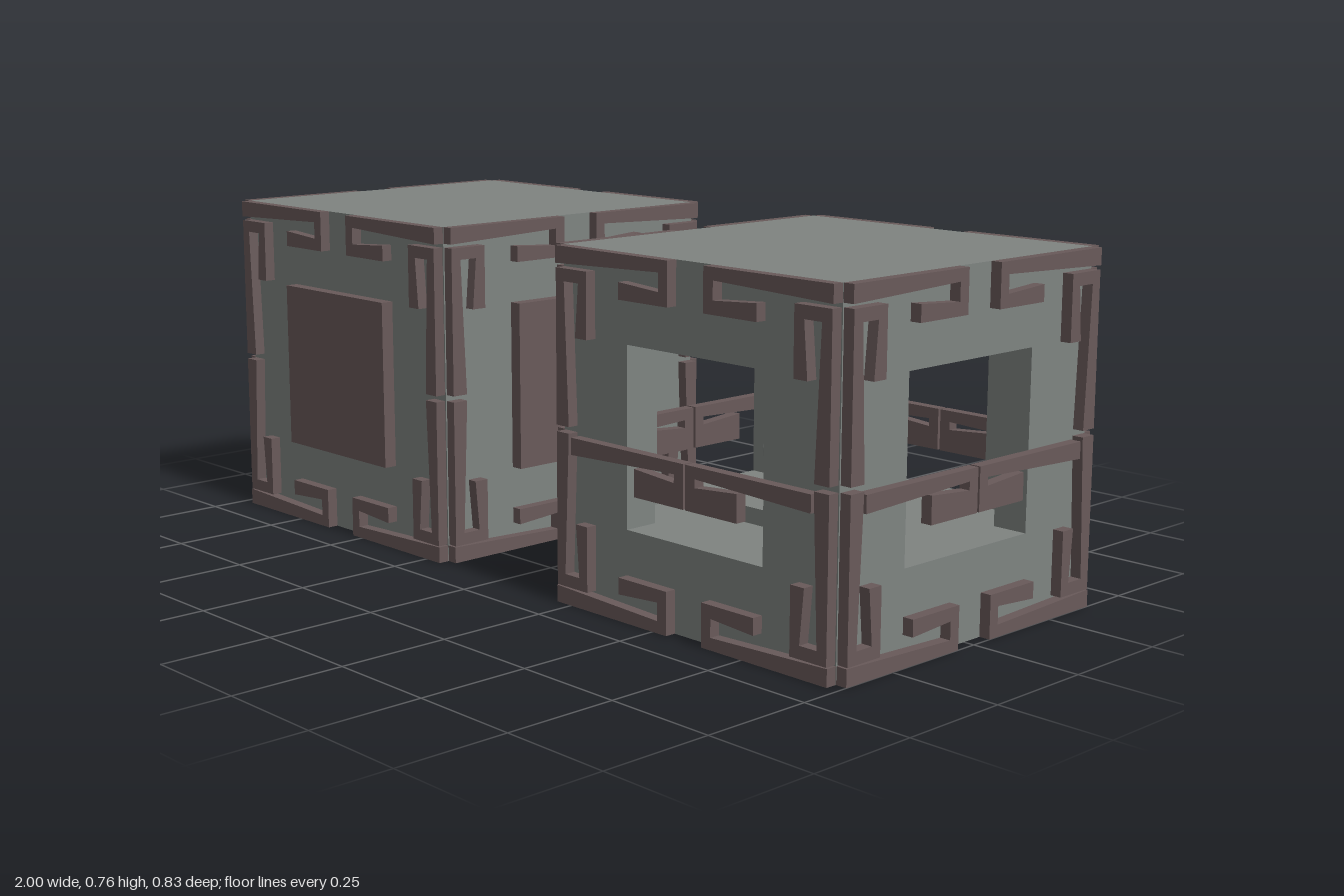
import * as THREE from 'three';

const grey = new THREE.MeshStandardMaterial({ color: 0x7f8481 });
const brown = new THREE.MeshStandardMaterial({ color: 0x695a5a });
const bowlMat = new THREE.MeshStandardMaterial({ color: 0x7f8481, side: THREE.DoubleSide });

const H = 0.765;      // cube height
const R = 0.385;      // half width of the body
const W = 0.192;      // half width of window and panel
const Y0 = 0.19, Y1 = 0.577; // window bottom and top
const T = 0.025;      // trim thickness

// Hooked trim outlines, for the +u half of a face
const rail = [[0.384, H], [0.384, 0.728], [0.076, 0.739], [0.076, 0.7], [0.192, 0.708], [0.192, 0.672], [0.05, 0.672], [0.05, H]];
const post = [[0.382, 0.719], [0.288, 0.719], [0.288, 0.577], [0.323, 0.577], [0.313, 0.692], [0.357, 0.692], [0.344, 0.386], [0.382, 0.386]];
const belt = [[0.337, 0.365], [0.337, 0.328], [0.029, 0.34], [0.029, 0.322], [0.145, 0.331], [0.145, 0.272], [0.003, 0.272], [0.003, 0.365]];

function add(parent, name, geometry, material, x = 0, y = 0, z = 0) {
  const mesh = new THREE.Mesh(geometry, material);
  mesh.name = name;
  mesh.position.set(x, y, z);
  parent.add(mesh);
  return mesh;
}

function extrude(points, depth) {
  const shape = new THREE.Shape(points.map(([x, y]) => new THREE.Vector2(x, y)));
  return new THREE.ExtrudeGeometry(shape, { depth, bevelEnabled: false });
}

// All trim of one face, facing +z
function faceTrim(withBelt) {
  const face = new THREE.Group();
  face.name = 'faceTrim';
  for (const s of [1, -1]) {
    const flip = (points, mirrorY) => points.map(([u, y]) => [s * u, mirrorY ? mirrorY - y : y]);
    for (const top of [true, false]) {
      add(face, 'hookedRail', extrude(flip(rail, top ? 0 : H), T), brown, 0, 0, R);
      add(face, 'hookedPost', extrude(flip(post, top ? 0 : 0.758), T), brown, 0, 0, R);
    }
    if (withBelt) add(face, 'hookedBelt', extrude(flip(belt, 0), T), brown, 0, 0, R);
  }
  return face;
}

// Closed cube with a raised square panel on each side
function closedCube() {
  const cube = new THREE.Group();
  cube.name = 'closedCube';
  add(cube, 'body', new THREE.BoxGeometry(2 * R, H, 2 * R), grey, 0, H / 2, 0);
  for (let i = 0; i < 4; i++) {
    const face = faceTrim(false);
    add(face, 'raisedPanel', new THREE.BoxGeometry(2 * W, Y1 - Y0, 0.03), brown, 0, (Y0 + Y1) / 2, R + 0.015);
    face.rotation.y = i * Math.PI / 2;
    cube.add(face);
  }
  return cube;
}

// Bowl on a chamfered square base
function pedestalBowl() {
  const bowl = new THREE.Group();
  bowl.name = 'pedestalBowl';
  const a = 0.162, b = 0.08;
  const outline = [[a, -b], [a, b], [b, a], [-b, a], [-a, b], [-a, -b], [-b, -a], [b, -a]];
  const base = extrude(outline, 0.035);
  base.rotateX(-Math.PI / 2);
  add(bowl, 'base', base, grey, 0, Y0, 0);
  const profile = [[0.055, 0.225], [0.082, 0.247], [0.109, 0.272], [0.122, 0.3], [0.128, 0.338],
    [0.116, 0.338], [0.11, 0.305], [0.09, 0.275], [0.05, 0.25], [0, 0.242]];
  add(bowl, 'bowl', new THREE.LatheGeometry(profile.map(([x, y]) => new THREE.Vector2(x, y)), 40), bowlMat);
  return bowl;
}

// Open cube with a window and a belt on each side
function windowCube() {
  const cube = new THREE.Group();
  cube.name = 'windowCube';
  add(cube, 'floorBlock', new THREE.BoxGeometry(2 * R, Y0, 2 * R), grey, 0, Y0 / 2, 0);
  add(cube, 'roofBlock', new THREE.BoxGeometry(2 * R, H - Y1, 2 * R), grey, 0, (H + Y1) / 2, 0);
  const wall = 0.08;
  for (let i = 0; i < 4; i++) {
    const face = faceTrim(true);
    for (const s of [1, -1]) {
      add(face, 'pier', new THREE.BoxGeometry(R - W, Y1 - Y0, wall), grey, s * (R + W) / 2, (Y0 + Y1) / 2, R - wall / 2);
    }
    face.rotation.y = i * Math.PI / 2;
    cube.add(face);
  }
  cube.add(pedestalBowl());
  return cube;
}

export function createModel() {
  const model = new THREE.Group();
  model.name = 'cubePair';
  const closed = closedCube();
  closed.position.x = -0.585;
  const open = windowCube();
  open.position.x = 0.59;
  model.add(closed, open);
  return model;
}
